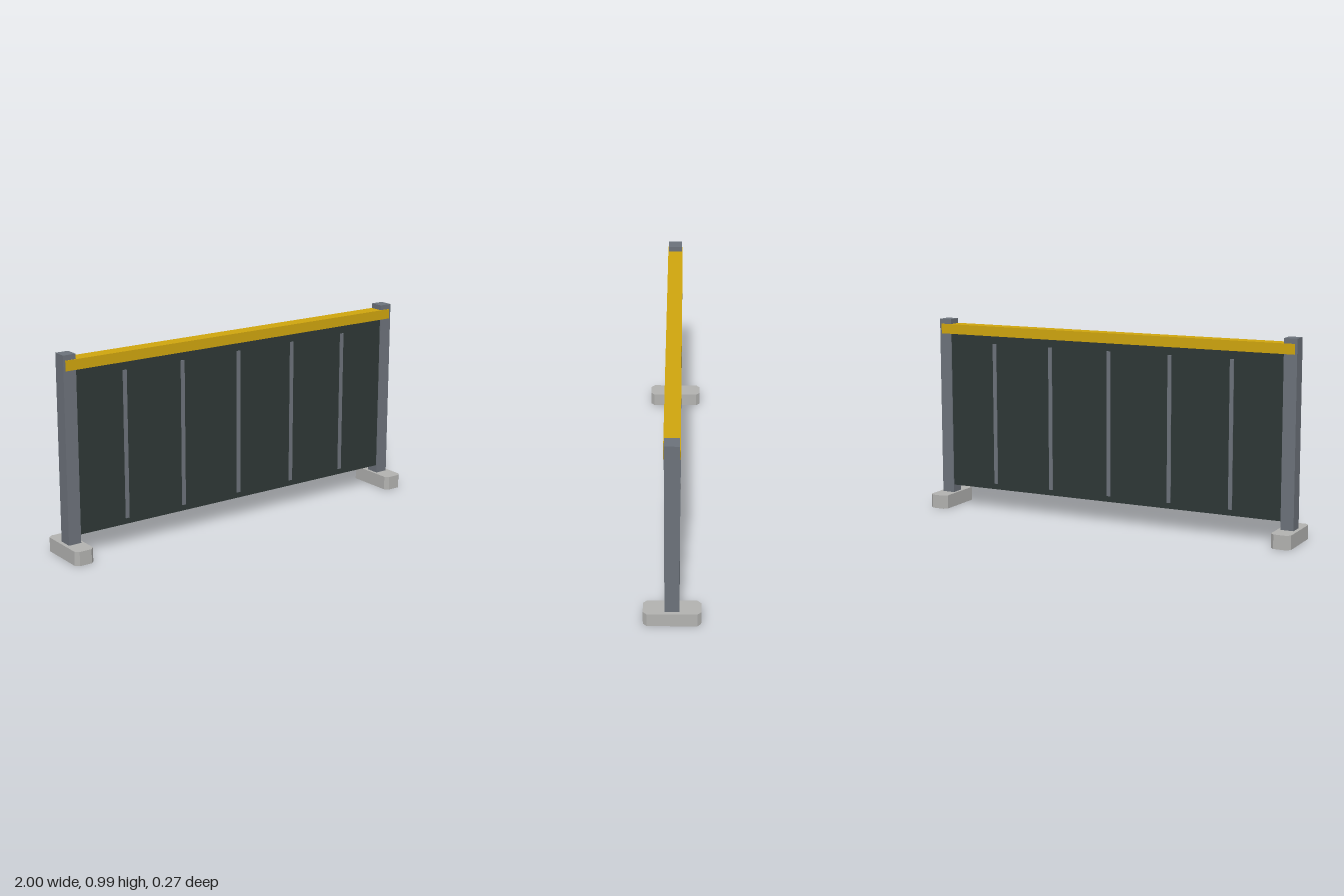
import * as THREE from 'three';

const material = (name, color) => {
  const m = new THREE.MeshStandardMaterial({ color });
  m.name = name;
  return m;
};

export function createModel() {
  const group = new THREE.Group();
  const steel = material('grey steel', 0x6c727a);
  const dark = material('dark panel', 0x2e3736);
  const yellow = material('yellow rail', 0xcfa50e);
  const concrete = material('concrete', 0xb2b2b0);

  const add = (name, geometry, mat, x = 0, y = 0, z = 0) => {
    const mesh = new THREE.Mesh(geometry, mat);
    mesh.name = name;
    mesh.position.set(x, y, z);
    group.add(mesh);
  };
  // Box spanning y0 to y1
  const box = (name, mat, w, y0, y1, d, x = 0, z = 0) =>
    add(name, new THREE.BoxGeometry(w, y1 - y0, d), mat, x, (y0 + y1) / 2, z);

  // Foot outline with chamfered corners, extruded upwards
  const w = 0.05, d = 0.135, c = 0.018;
  const outline = new THREE.Shape([
    [w, c - d], [w, d - c], [w - c, d], [c - w, d],
    [-w, d - c], [-w, c - d], [c - w, -d], [w - c, -d],
  ].map(([x, y]) => new THREE.Vector2(x, y)));
  const foot = new THREE.ExtrudeGeometry(outline, { depth: 0.07, bevelEnabled: false });
  foot.rotateX(-Math.PI / 2);

  // Feet and posts at both ends
  for (const [side, s] of [['left', 1], ['right', -1]]) {
    add(side + 'Foot', foot, concrete, s * 0.95);
    box(side + 'Post', steel, 0.066, 0.07, 0.985, 0.07, s * 0.948);
  }

  // Panel and the rail over it, lapping the posts
  box('panel', dark, 1.83, 0.11, 0.915, 0.06);
  box('topRail', yellow, 1.94, 0.91, 0.96, 0.076);

  // Thin ribs on both faces of the panel
  for (const x of [-0.655, -0.33, 0, 0.33, 0.655])
    for (const [face, s] of [['front', 1], ['back', -1]])
      box(face + 'Rib', steel, 0.02, 0.14, 0.87, 0.008, x, s * 0.031);

  return group;
}
